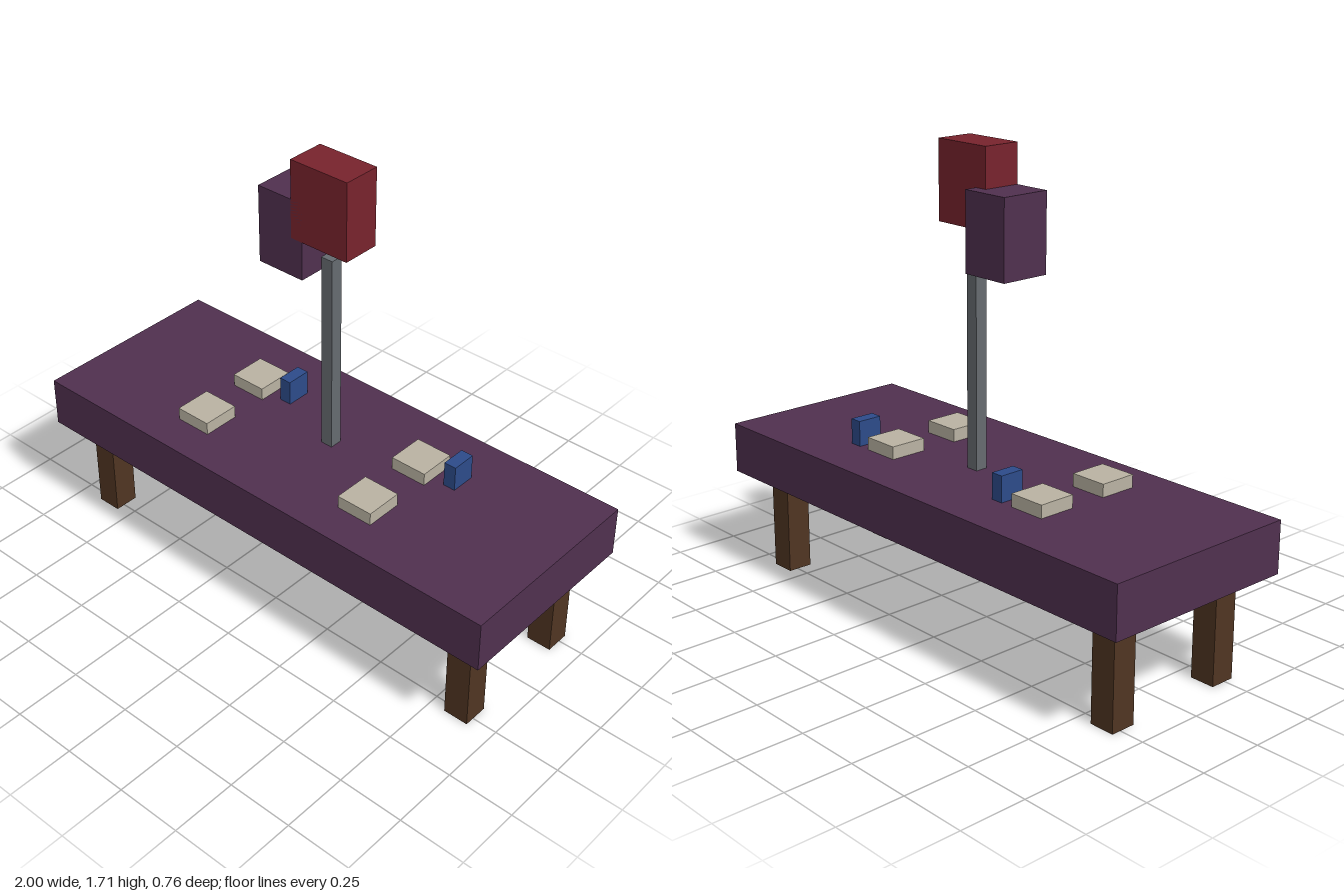
import * as THREE from 'three';

// One modelling unit: the table is 42 units long
const U = 2 / 42;

const mat = (name, color) => {
  const m = new THREE.MeshStandardMaterial({ color });
  m.name = name;
  return m;
};

export function createModel() {
  const model = new THREE.Group();
  model.name = 'decoratedTable';

  const plum = mat('plum', 0x50304f);
  const wood = mat('darkWood', 0x503522);
  const cream = mat('cream', 0xbab3a3);
  const blue = mat('blue', 0x2d4b8a);
  const grey = mat('grey', 0x666b70);
  const red = mat('red', 0x78232d);

  // Box given by its lowest and highest corners in units
  const box = (name, material, [x0, y0, z0], [x1, y1, z1]) => {
    const geo = new THREE.BoxGeometry((x1 - x0) * U, (y1 - y0) * U, (z1 - z0) * U);
    const mesh = new THREE.Mesh(geo, material);
    mesh.name = name;
    mesh.position.set((x0 + x1) / 2 * U, (y0 + y1) / 2 * U, (z0 + z1) / 2 * U);
    model.add(mesh);
  };

  // Tablecloth: a hanging rim, hollow underneath, closed by a thin top
  const rect = (PathType, w, d) => new PathType([
    [-w, -d], [w, -d], [w, d], [-w, d],
  ].map(([x, y]) => new THREE.Vector2(x * U, y * U)));
  const rim = rect(THREE.Shape, 21, 8);
  rim.holes.push(rect(THREE.Path, 20, 7));
  const skirt = new THREE.Mesh(
    new THREE.ExtrudeGeometry(rim, { depth: 3 * U, bevelEnabled: false }), plum);
  skirt.name = 'clothSkirt';
  skirt.rotation.x = -Math.PI / 2;
  skirt.position.y = 8 * U;
  model.add(skirt);
  box('clothTop', plum, [-21, 11, -8], [21, 12, 8]);

  // Wooden table under the cloth
  box('tableTop', wood, [-20, 9, -7], [20, 11, 7]);
  for (const x of [-19, 17]) {
    for (const z of [-6, 4]) box('leg', wood, [x, 0, z], [x + 2, 9, z + 2]);
  }

  // Place settings: two plates and one cup at each end
  for (const x of [-10, 6]) {
    for (const z of [-4, 2]) box('plate', cream, [x, 12, z], [x + 3, 13, z + 3]);
    box('cup', blue, [x + 4, 12, -4], [x + 5, 14, -2]);
  }

  // Centrepiece: pole with two blocks
  box('pole', grey, [0, 12, -1], [1, 28, 0]);
  box('lowerBlock', plum, [-4, 27, -2], [0, 33, 2]);
  box('upperBlock', red, [-1, 30, -1], [4, 36, 2]);

  return model;
}
